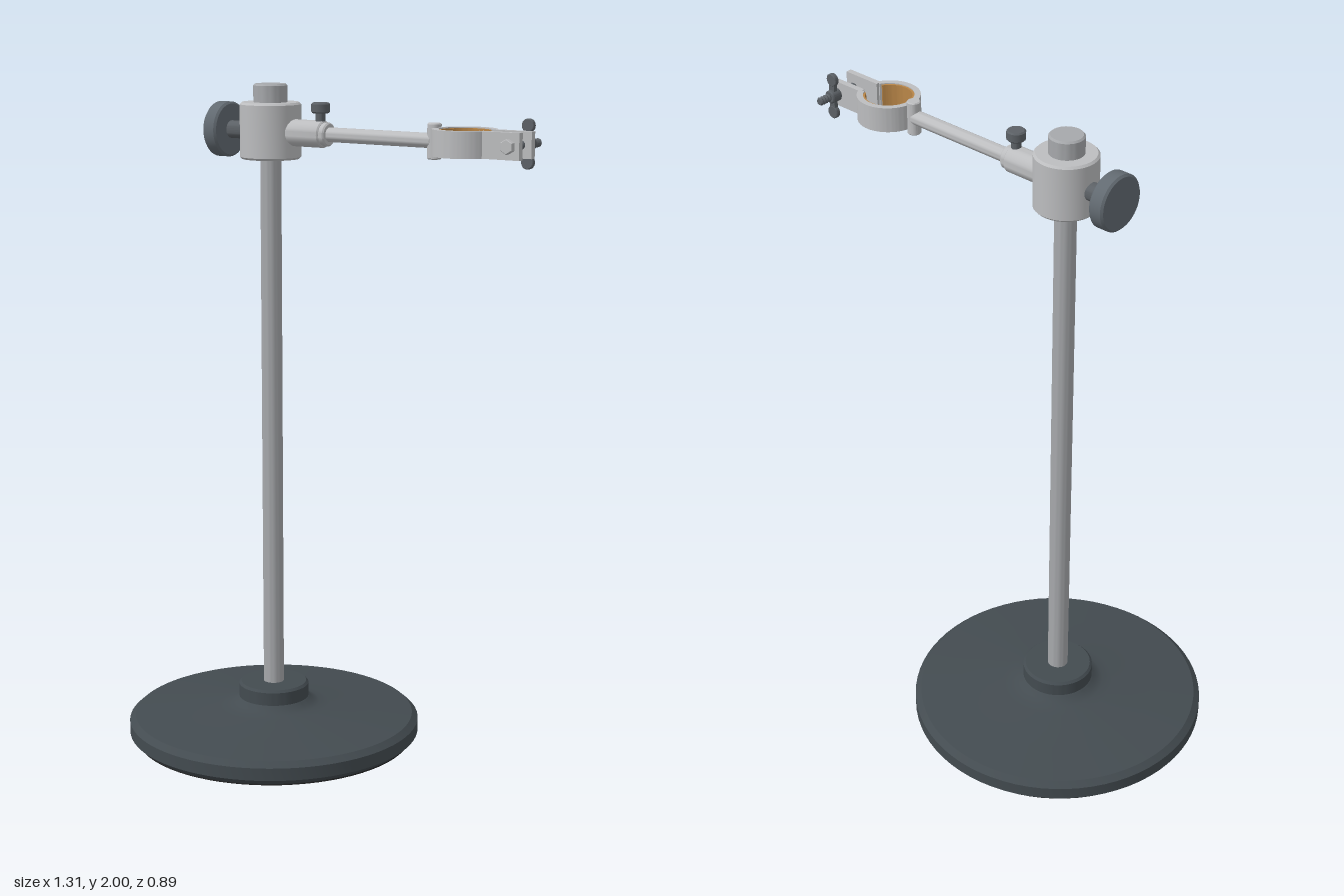
import * as THREE from 'three';
import { toCreasedNormals } from 'three/addons/utils/BufferGeometryUtils.js';

const mat = (name, color) => {
  const m = new THREE.MeshStandardMaterial({ color });
  m.name = name;
  return m;
};

export function createModel() {
  const iron = mat('dark cast iron', 0x434b50);
  const rubber = mat('black rubber', 0x262728);
  const steel = mat('rod steel', 0xa6a8ab);
  const alloy = mat('light alloy', 0xbcbdbf);
  const grip = mat('grey grip', 0x626a71);
  const bolt = mat('dark bolt steel', 0x5c6166);
  const cork = mat('cork liner', 0xb98648);

  const root = new THREE.Group();
  root.name = 'supportStand';
  const X0 = -0.21, Y0 = 1.862; // column axis, arm height

  const add = (name, geo, material, x, y, z, parent = root) => {
    const m = new THREE.Mesh(geo, material);
    m.name = name;
    m.position.set(x, y, z);
    parent.add(m);
    return m;
  };
  // Turned part from [radius, height] pairs, with sharp edges kept
  const turned = (pts, seg = 48) =>
    toCreasedNormals(new THREE.LatheGeometry(pts.map(p => new THREE.Vector2(...p)), seg), 0.45);
  // Chamfered cylinder from y = a to y = b
  const rod = (r, a, b, c = 0.004, seg = 32) =>
    turned([[0, a], [r - c, a], [r, a + c], [r, b - c], [r - c, b], [0, b]], seg);
  const alongX = g => g.rotateZ(-Math.PI / 2);
  const alongZ = g => g.rotateX(Math.PI / 2);

  // Weighted base with rubber underside
  add('base', turned([
    [0, 0.004], [0.425, 0.004], [0.446, 0.022], [0.446, 0.06], [0.428, 0.076],
    [0.3, 0.089], [0.17, 0.102], [0.14, 0.107], [0.122, 0.114], [0.112, 0.124],
    [0.107, 0.128], [0.107, 0.168], [0.1, 0.175], [0, 0.175],
  ], 72), iron, X0, 0, 0);
  add('basePad', rod(0.426, 0, 0.006, 0.001, 72), rubber, X0, 0, 0);

  // Column and clamp head
  add('column', rod(0.031, 0.17, 1.8), steel, X0, 0, 0);
  add('clampHead', rod(0.09, 1.783, 1.947, 0.006, 48), alloy, X0, 0, 0);
  add('columnCap', rod(0.05, 1.94, 2.0, 0.005, 40), steel, X0, 0, 0);

  // Tightening knob on the right side
  add('knobShaft', alongX(rod(0.026, -0.36, -0.28)), bolt, 0, Y0, 0);
  add('knob', alongX(rod(0.081, -0.402, -0.354, 0.006, 40)), grip, 0, Y0, 0);

  // Arm socket, thumb screw and arm
  add('armSocket', alongX(rod(0.039, -0.14, -0.015)), alloy, 0, Y0, 0);
  add('socketCollar', alongX(rod(0.034, -0.02, 0.002)), alloy, 0, Y0, 0);
  add('thumbScrewStem', rod(0.014, 1.89, 1.926, 0.002, 20), bolt, -0.03, 0, 0);
  add('thumbScrewHead', rod(0.027, 1.922, 1.952, 0.004, 24), bolt, -0.03, 0, 0);
  add('arm', alongX(rod(0.021, -0.01, 0.355, 0.002)), alloy, 0, Y0, 0);
  add('pivotPin', rod(0.02, 1.811, 1.911, 0.003, 24), alloy, 0.358, 0, 0);

  // Open ring clamp: arcs extruded upward, gap facing +x
  const RX = 0.457, H = 0.074;
  const arcGeo = (rIn, rOut, gap, h) => {
    const s = new THREE.Shape();
    s.absarc(0, 0, rOut, gap, Math.PI * 2 - gap, false);
    s.absarc(0, 0, rIn, Math.PI * 2 - gap, gap, true);
    s.closePath();
    const g = new THREE.ExtrudeGeometry(s, { depth: h, bevelEnabled: false, curveSegments: 48 });
    g.translate(0, 0, -h / 2).rotateX(-Math.PI / 2);
    return toCreasedNormals(g, 0.45);
  };
  add('clampRing', arcGeo(0.073, 0.091, 0.42, H), alloy, RX, Y0, 0);
  add('ringLiner', arcGeo(0.067, 0.0735, 0.5, H - 0.006), cork, RX, Y0, 0);
  for (const s of [-1, 1])
    add(s > 0 ? 'frontLug' : 'backLug', new THREE.BoxGeometry(0.124, H, 0.018), alloy, 0.592, Y0, s * 0.033);

  // Clamp bolt with thread ridges, hex head and wing nut
  const BX = 0.623;
  const thread = [[0, -0.116]];
  for (let z = -0.116; z < 0.045; z += 0.01) thread.push([0.009, z], [0.0125, z + 0.005]);
  thread.push([0, 0.05]);
  add('clampBolt', alongZ(turned(thread, 16)), bolt, BX, Y0, 0);
  add('boltHead', alongZ(rod(0.021, 0.042, 0.06, 0.002, 6)), alloy, BX, Y0, 0);
  const nut = new THREE.Group();
  nut.name = 'wingNut';
  nut.position.set(BX, Y0, -0.06);
  root.add(nut);
  add('nutHub', alongZ(rod(0.019, -0.016, 0.018, 0.003, 24)), bolt, 0, 0, 0, nut);
  for (const s of [-1, 1]) {
    add('wing', alongZ(rod(0.019, -0.007, 0.007, 0.002, 24)), bolt, 0, s * 0.05, 0, nut);
    add('wingWeb', new THREE.BoxGeometry(0.02, 0.04, 0.012), bolt, 0, s * 0.03, 0, nut);
  }
  return root;
}
